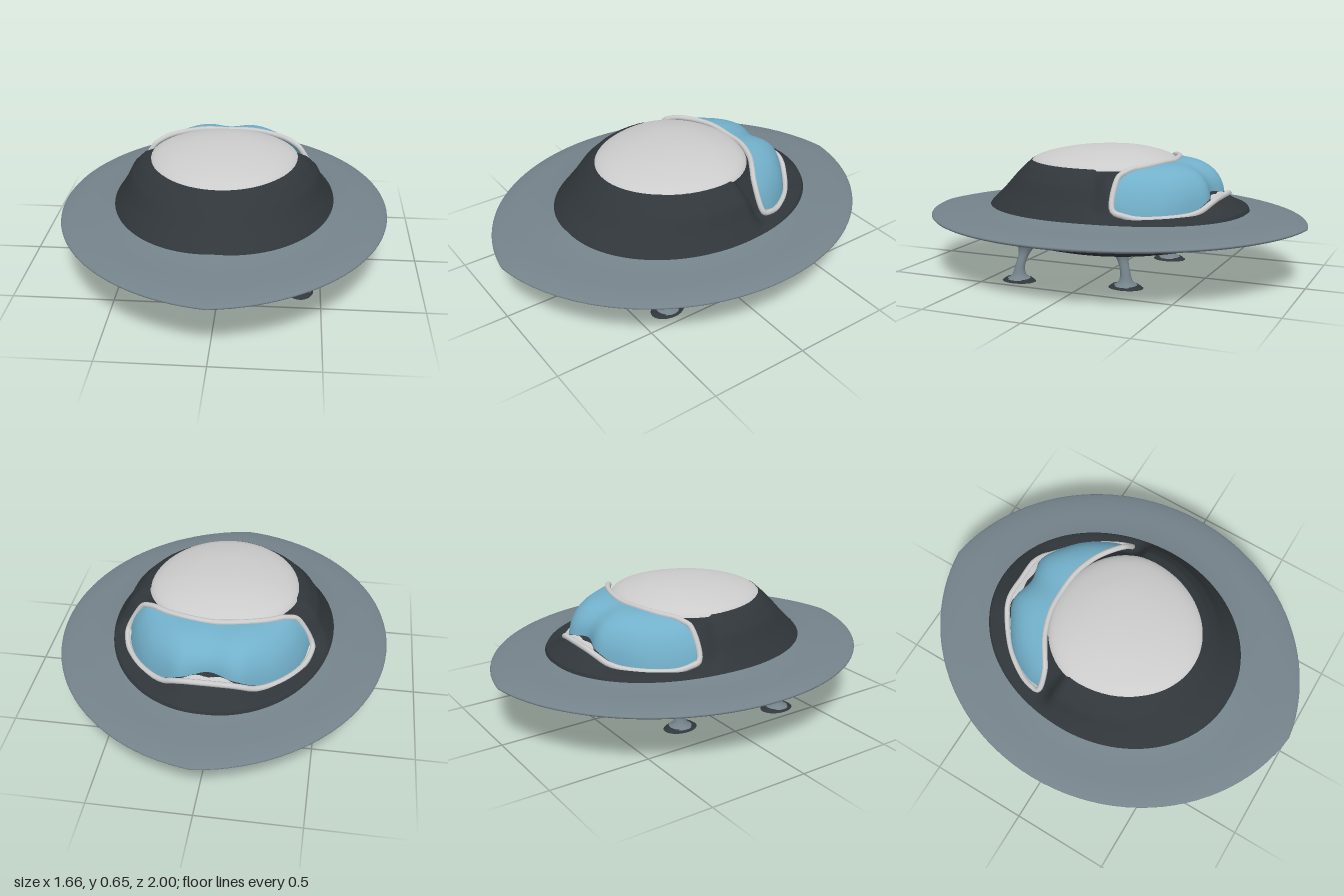
import * as THREE from 'three';
import { mergeVertices } from 'three/addons/utils/BufferGeometryUtils.js';

const mat = (color) => new THREE.MeshStandardMaterial({ color, side: THREE.DoubleSide });
const slate = mat(0x74828a), dark = mat(0x30363a), pale = mat(0xcccccc), glass = mat(0x72b0ca);
const TAU = Math.PI * 2;

// Smooth surface from fn(u, v) -> [x, y, z]; faces point along du x dv
function surface(fn, nu, nv) {
  const pos = [], index = [];
  for (let j = 0; j <= nv; j++)
    for (let i = 0; i <= nu; i++) pos.push(...fn(i / nu, j / nv));
  for (let j = 0; j < nv; j++)
    for (let i = 0; i < nu; i++) {
      const a = j * (nu + 1) + i, d = a + nu + 1;
      index.push(a, a + 1, d + 1, a, d + 1, d);
    }
  let g = new THREE.BufferGeometry();
  g.setAttribute('position', new THREE.Float32BufferAttribute(pos, 3));
  g.setIndex(index);
  g = mergeVertices(g, 1e-5);
  g.computeVertexNormals();
  return g;
}

// Rows of ring values, read smoothly at v
function sampler(rows) {
  return (v) => {
    const f = Math.min(v, 0.99999) * (rows.length - 1), i = Math.floor(f);
    return rows[i].map((a, k) => THREE.MathUtils.lerp(a, rows[i + 1][k], f - i));
  };
}

// Oval point: half width, front length, rear length
const oval = (t, rx, zf, zr) => [rx * Math.sin(t), (Math.cos(t) > 0 ? zf : zr) * Math.cos(t)];

// Curve mirrored from points that start on the centre line, running from +x to -x
function mirrored(points) {
  const right = points.map((p) => new THREE.Vector3(...p));
  const left = right.slice(1).map((p) => new THREE.Vector3(-p.x, p.y, p.z));
  return new THREE.CatmullRomCurve3([...right.reverse(), ...left]);
}

export function createModel() {
  const model = new THREE.Group();
  const add = (name, geometry, material, parent = model) => {
    const m = new THREE.Mesh(geometry, material);
    m.name = name;
    parent.add(m);
    return m;
  };

  // Saucer disc, oval with a slight point at both ends: [size, y]
  const discCurve = new THREE.SplineCurve([
    [0.6, 0.215], [0.75, 0.238], [0.9, 0.265], [0.98, 0.28], [1, 0.292],
    [0.98, 0.304], [0.9, 0.32], [0.77, 0.332], [0.69, 0.345], [0.64, 0.358],
  ].map((p) => new THREE.Vector2(...p)));
  add('saucerDisc', surface((u, v) => {
    const t = u * TAU, p = discCurve.getPoint(v), c = Math.cos(t), s = Math.sin(t);
    const z = 0.95 * c + 0.05 * Math.sign(c) * (1 - Math.abs(s)) ** 2;
    return [0.83 * s * p.x, p.y, z * p.x];
  }, 96, 36), slate);

  // Shallow hollow belly: [size, y]
  const belly = sampler([[0, 0.162], [0.35, 0.158], [0.6, 0.15], [0.75, 0.158], [0.9, 0.18], [1, 0.217]]);
  add('belly', surface((u, v) => {
    const [s, y] = belly(v), [x, z] = oval(u * TAU, 0.51, 0.59, 0.585);
    return [x * s, y, z * s];
  }, 64, 20), dark);

  // Cabin wall; the rear is cut back to seat the window: [y, half width, front, rear]
  const wall = sampler([
    [0.335, 0.57, 0.66, 0.705], [0.358, 0.55, 0.645, 0.695], [0.43, 0.505, 0.57, 0.62],
    [0.5, 0.47, 0.505, 0.55], [0.55, 0.42, 0.455, 0.45], [0.575, 0.365, 0.43, 0.33],
  ]);
  const rearWall = sampler([
    [0.335, 0.57, 0.66, 0.705], [0.358, 0.55, 0.645, 0.695], [0.37, 0.455, 0.57, 0.585],
    [0.46, 0.41, 0.5, 0.47], [0.53, 0.37, 0.45, 0.36], [0.57, 0.355, 0.43, 0.32],
  ]);
  add('cabinWall', surface((u, v) => {
    const t = u * TAU, a = wall(v), b = rearWall(v);
    const cut = THREE.MathUtils.smoothstep(-0.695 * Math.cos(t), 0.1, 0.2);
    const [y, rx, zf, zr] = a.map((n, k) => THREE.MathUtils.lerp(n, b[k], cut));
    const [x, z] = oval(t, rx, zf, zr);
    // Rise under the middle of the window
    const hump = z < 0 ? 1 - THREE.MathUtils.smoothstep(Math.abs(x), 0.12, 0.25) : 0;
    return [x, y + 0.05 * hump * Math.max(0, 1 - Math.abs(v - 0.4) / 0.2), z];
  }, 120, 20), dark);

  // Domed roof
  const roof = new THREE.SplineCurve([[1, 0.565], [0.95, 0.585], [0.8, 0.61], [0.5, 0.637], [0.22, 0.648], [0, 0.651]]
    .map((p) => new THREE.Vector2(...p)));
  add('roof', surface((u, v) => {
    const p = roof.getPoint(v), [x, z] = oval(u * TAU, 0.375, 0.435, 0.33);
    return [x * p.x, p.y, z * p.x];
  }, 64, 16), pale);

  // Wraparound rear window, bulging between its top and bottom edges
  const top = mirrored([[0, 0.583, -0.32], [0.12, 0.588, -0.31], [0.24, 0.583, -0.27], [0.33, 0.572, -0.215], [0.38, 0.545, -0.185]]);
  const middle = mirrored([[0, 0.54, -0.465], [0.13, 0.545, -0.48], [0.28, 0.52, -0.4], [0.38, 0.495, -0.28], [0.425, 0.475, -0.185]]);
  const bottom = mirrored([[0, 0.44, -0.52], [0.13, 0.42, -0.55], [0.22, 0.378, -0.51], [0.34, 0.366, -0.42], [0.425, 0.372, -0.28], [0.445, 0.4, -0.195]]);
  add('window', surface((u, v) => {
    const b = bottom.getPointAt(u), m = middle.getPointAt(u), t = top.getPointAt(u);
    const c = m.multiplyScalar(2).addScaledVector(b, -0.5).addScaledVector(t, -0.5);
    return b.multiplyScalar((1 - v) ** 2).addScaledVector(c, 2 * v * (1 - v))
      .addScaledVector(t, v * v).toArray();
  }, 64, 16), glass);

  // Window surround: ledge below the glass and a rounded rim
  const sill = mirrored([[0, 0.425, -0.58], [0.13, 0.42, -0.575], [0.23, 0.375, -0.525], [0.36, 0.363, -0.41], [0.445, 0.37, -0.27], [0.46, 0.4, -0.19]]);
  const frame = new THREE.Group();
  frame.name = 'windowFrame';
  model.add(frame);
  add('windowLedge', surface((u, v) =>
    sill.getPointAt(u).lerp(bottom.getPointAt(u), v).toArray(), 64, 2), pale, frame);
  const loop = new THREE.CatmullRomCurve3([
    ...sill.getSpacedPoints(24), ...top.getSpacedPoints(20).reverse(),
  ], true);
  add('windowRim', new THREE.TubeGeometry(loop, 160, 0.014, 8, true), pale, frame);

  // Landing legs: curved stems flaring at both ends, on flat oval pads
  const stem = new THREE.SplineCurve([[0.06, 0.012], [0.04, 0.025], [0.028, 0.05], [0.024, 0.09], [0.027, 0.13], [0.042, 0.165], [0.056, 0.185], [0.05, 0.2]]
    .map((p) => new THREE.Vector2(...p)));
  const addLeg = (name, x, z, topX, topZ) => {
    const leg = new THREE.Group();
    leg.name = name;
    model.add(leg);
    add('legStem', surface((u, v) => {
      const p = stem.getPoint(v), k = THREE.MathUtils.smoothstep(p.y, 0.02, 0.19) ** 1.5;
      return [
        THREE.MathUtils.lerp(x, topX, k) + p.x * Math.sin(u * TAU), p.y,
        THREE.MathUtils.lerp(z, topZ, k) + p.x * Math.cos(u * TAU),
      ];
    }, 20, 20), slate, leg);
    const pad = add('footPad', new THREE.CylinderGeometry(0.052, 0.066, 0.014, 28), dark, leg);
    pad.scale.z = 1.33;
    pad.position.set(x, 0.007, z);
  };
  for (const [side, s] of [['left', 1], ['right', -1]]) {
    addLeg(side + 'FrontLeg', s * 0.4, 0.34, s * 0.35, 0.32);
    addLeg(side + 'RearLeg', s * 0.313, -0.197, s * 0.285, -0.16);
  }

  return model;
}
